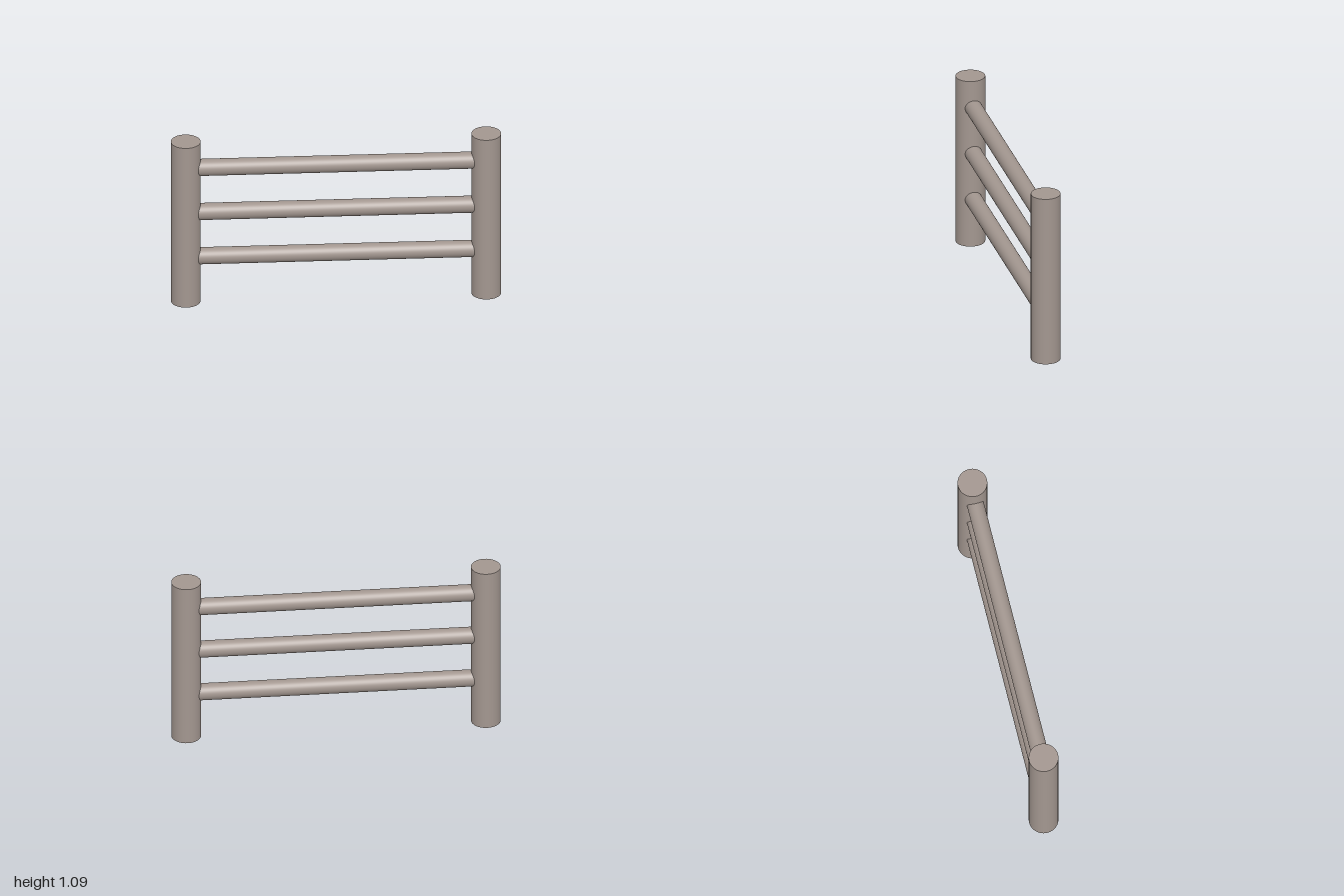
import * as THREE from 'three';

export function createModel() {
  const group = new THREE.Group();
  group.name = 'railFence';

  const wood = new THREE.MeshStandardMaterial({ color: 0xa39790 });
  wood.name = 'weathered wood';

  const postRadius = 0.09, postHeight = 1.09, postX = 0.91;
  const railRadius = 0.052;

  // Upright round posts at both ends
  const postGeometry = new THREE.CylinderGeometry(postRadius, postRadius, postHeight, 48);
  for (const [name, side] of [['leftPost', 1], ['rightPost', -1]]) {
    const post = new THREE.Mesh(postGeometry, wood);
    post.name = name;
    post.position.set(side * postX, postHeight / 2, 0);
    group.add(post);
  }

  // Horizontal round rails, ending inside the posts
  const railGeometry = new THREE.CylinderGeometry(railRadius, railRadius, 2 * postX, 40);
  railGeometry.rotateZ(Math.PI / 2);
  [['lowerRail', 0.305], ['middleRail', 0.608], ['upperRail', 0.91]].forEach(([name, y]) => {
    const rail = new THREE.Mesh(railGeometry, wood);
    rail.name = name;
    rail.position.y = y;
    group.add(rail);
  });

  return group;
}
